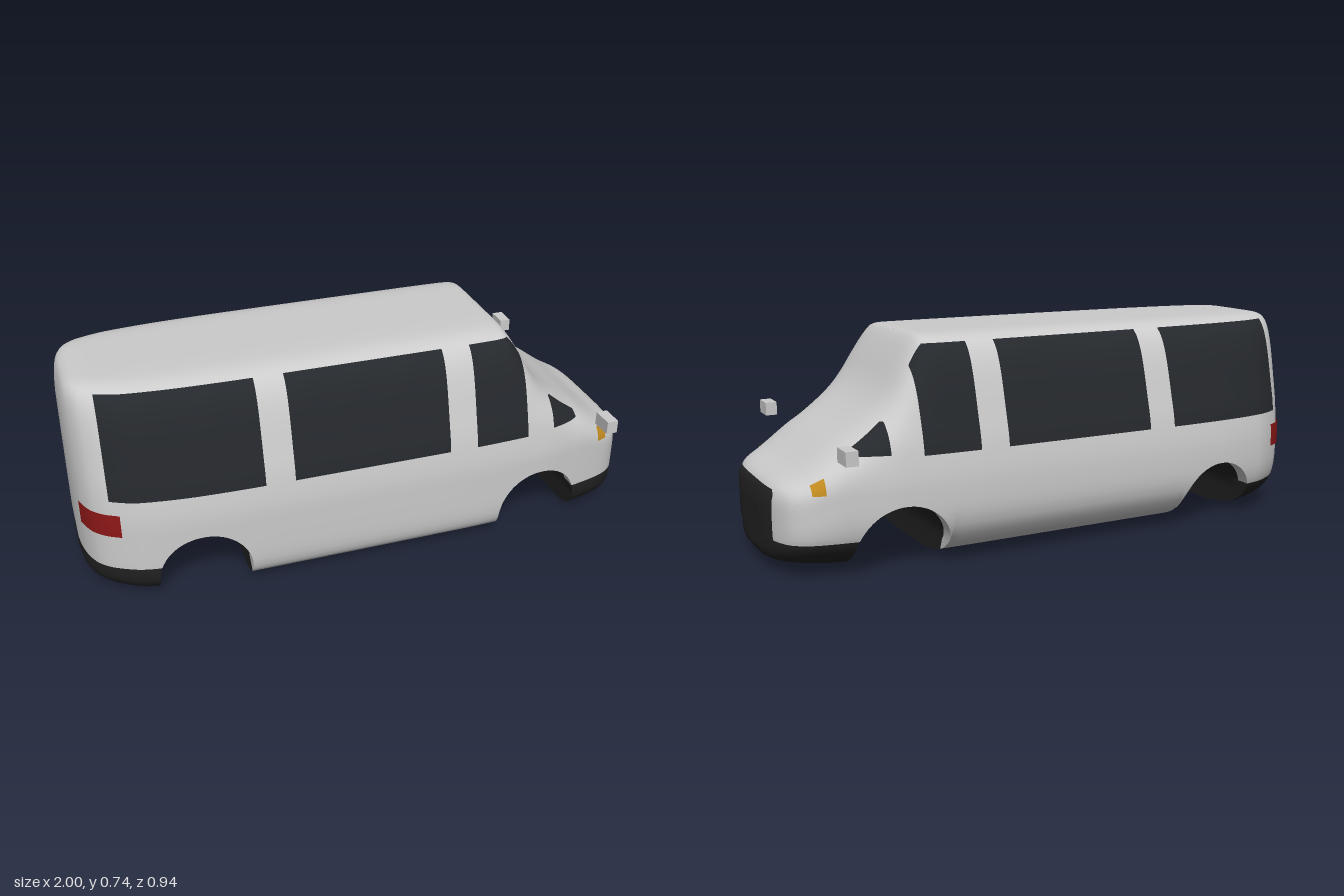
import * as THREE from 'three';
import { toCreasedNormals } from 'three/addons/utils/BufferGeometryUtils.js';

// Monotone smooth curve through [x, value] knots
function curve(knots) {
  const sec = i => (knots[i + 1][1] - knots[i][1]) / (knots[i + 1][0] - knots[i][0]);
  const slope = knots.map((k, i) => {
    if (i === 0) return sec(0);
    if (i === knots.length - 1) return sec(i - 1);
    const a = sec(i - 1), b = sec(i);
    return a * b > 0 ? 2 * a * b / (a + b) : 0;
  });
  return x => {
    if (x <= knots[0][0]) return knots[0][1];
    const i = knots.findIndex(k => k[0] >= x) - 1;
    if (i < 0) return knots[knots.length - 1][1];
    const h = knots[i + 1][0] - knots[i][0], t = (x - knots[i][0]) / h, s = 1 - t;
    return knots[i][1] * s * s * (1 + 2 * t) + knots[i + 1][1] * t * t * (3 - 2 * t)
      + h * (slope[i] * t * s * s - slope[i + 1] * t * t * s);
  };
}

// Body shape: half width in plan, roof line, underside and side taper
const plan = curve([[-1, 0.1], [-0.995, 0.15], [-0.98, 0.215], [-0.95, 0.275], [-0.9, 0.318], [-0.8, 0.36],
  [-0.6, 0.384], [-0.4, 0.39], [0.3, 0.39], [0.6, 0.378], [0.75, 0.355], [0.85, 0.332], [0.9, 0.315],
  [0.95, 0.28], [0.98, 0.22], [0.995, 0.15], [1, 0.1]]);
const roof = curve([[-1, 0.62], [-0.995, 0.67], [-0.98, 0.713], [-0.95, 0.731], [-0.9, 0.736], [0.47, 0.74],
  [0.49, 0.738], [0.51, 0.72], [0.55, 0.66], [0.6, 0.575], [0.64, 0.525], [0.7, 0.473], [0.8, 0.403],
  [0.9, 0.332], [0.97, 0.295], [0.99, 0.268], [1, 0.22]]);
const under = curve([[-1, 0.06], [-0.98, 0.035], [-0.75, 0], [0.75, 0], [0.97, 0.03], [0.99, 0.04], [1, 0.06]]);
const taper = curve([[0, 1], [0.27, 1], [0.4, 0.96], [0.5, 0.895], [0.6, 0.833], [0.69, 0.785], [0.74, 0.765]]);
const topPower = curve([[0.45, 7], [0.75, 4.5]]);
const lowPower = side => (side > 0 ? 7 : 3);
const waist = x => Math.min(0.25, under(x) + 0.6 * (roof(x) - under(x)));

// Half width of the body at height y
function halfWidth(x, y, side) {
  const c = waist(x), up = y > c;
  const s = Math.min(1, up ? (y - c) / (roof(x) - c) : (c - y) / (c - under(x)));
  const n = up ? topPower(x) : lowPower(side);
  return plan(x) * taper(y) * Math.pow(1 - Math.pow(s, n), 1 / n);
}

// Wheel arches cut right across the body
const R = 0.156, AXLE_Y = 0.068, AXLES = [-0.612, 0.606];
const archHeight = (x, axle) => AXLE_Y + Math.sqrt(Math.max(0, R * R - (x - axle) ** 2));

// Lengthwise stations: { x, arch height }, close together at the ends and arches
function makeStations() {
  const list = [];
  const plain = (a, b, n, ease) => {
    for (let i = 0; i <= n; i++) list.push({ x: a + (b - a) * ease(i / n), arch: 0 });
  };
  const arch = axle => {
    for (let i = 0; i <= 36; i++) {
      const x = axle - R * Math.cos(Math.PI * i / 36);
      list.push({ x, arch: archHeight(x, axle) });
    }
  };
  plain(-1, AXLES[0] - R, 24, t => t * t);
  arch(AXLES[0]);
  plain(AXLES[0] + R, AXLES[1] - R, 24, t => t);
  arch(AXLES[1]);
  plain(AXLES[1] + R, 1, 24, t => 1 - (1 - t) ** 2);
  return [{ ...list[0], flat: true }, ...list, { ...list[list.length - 1], flat: true }];
}

const warp = t => t ** 3 / (t ** 3 + (1 - t) ** 3);

// One half cross-section, from roof centre to floor centre, as painted and dark parts
function section({ x, arch, flat }, side) {
  const c = waist(x), T = roof(x), B = under(x), m = lowPower(side), n = topPower(x);
  const bottom = Math.max(B, arch), split = Math.max(bottom, Math.abs(x) > 0.7 ? 0.12 : 0.03);
  const point = (y, z) => [x, y, flat ? 0 : side * z];
  const angle = y => Math.asin(Math.min(1, Math.pow((c - y) / (c - B), m / 2)));
  const low = a => {
    const y = c - (c - B) * Math.pow(Math.sin(a), 2 / m);
    return point(y, plan(x) * taper(y) * Math.pow(Math.max(0, Math.cos(a)), 2 / m));
  };
  const paint = [], dark = [], aS = angle(split), aB = angle(bottom);
  for (let i = 28; i >= 0; i--) {
    const a = Math.PI / 2 * warp(i / 28), y = c + (T - c) * Math.pow(Math.sin(a), 2 / n);
    paint.push(point(y, plan(x) * taper(y) * Math.pow(Math.max(0, Math.cos(a)), 2 / n)));
  }
  for (let i = 1; i <= 14; i++) paint.push(low(aS * warp(i / 14)));
  // painted lip just inside the arch
  const lip = arch >= split ? 0.85 : 1;
  const edge = paint[paint.length - 1];
  paint.push([x, edge[1], edge[2] * lip]);
  for (let i = 0; i <= 16; i++) {
    const p = low(aS + (aB - aS) * warp(i / 16));
    dark.push([x, p[1], p[2] * lip]);
  }
  const end = dark[dark.length - 1];
  for (let i = 1; i <= 4; i++) dark.push([x, end[1], end[2] * (1 - i / 4)]);
  return { paint, dark };
}

// Surface through rows of points
function skin(rows, flip) {
  const pos = [], w = rows[0].length;
  for (let i = 0; i < rows.length - 1; i++) for (let j = 0; j < w - 1; j++) {
    const a = rows[i][j], b = rows[i][j + 1], c = rows[i + 1][j + 1], d = rows[i + 1][j];
    pos.push(...(flip ? [a, d, b, b, d, c] : [a, b, d, b, c, d]).flat());
  }
  const g = new THREE.BufferGeometry();
  g.setAttribute('position', new THREE.Float32BufferAttribute(pos, 3));
  return toCreasedNormals(g, 0.7);
}

function grid(nu, nv, fn) {
  return Array.from({ length: nu + 1 }, (_, i) => Array.from({ length: nv + 1 }, (_, j) => fn(i / nu, j / nv)));
}

// Panel lying on the flank between x0..x1 and y0..top(x)
function sidePanel(x0, x1, y0, top, side, shift = 0) {
  return skin(grid(28, 20, (u, v) => {
    const x = x0 + (x1 - x0) * u, y1 = Math.max(y0, top(x)), y = y1 + (y0 - y1) * v;
    return [x + shift, y, side * (halfWidth(x, y, side) + 0.004)];
  }), side < 0);
}

// Foremost x of the body at a given height and z
function noseX(y, z) {
  let a = 0.7, b = 1;
  for (let i = 0; i < 30; i++) {
    const x = (a + b) / 2;
    if (y < roof(x) && y > under(x) && Math.abs(z) < halfWidth(x, y, Math.sign(z) || 1)) a = x;
    else b = x;
  }
  return a;
}

export function createModel() {
  const group = new THREE.Group();
  const mat = color => new THREE.MeshStandardMaterial({ color, side: THREE.DoubleSide });
  const paint = mat(0xcccccc), trim = mat(0x222222), glass = mat(0x25282c), red = mat(0x8c1717), amber = mat(0xc08a20);
  const add = (name, geometry, material) => {
    const mesh = new THREE.Mesh(geometry, material);
    mesh.name = name;
    group.add(mesh);
    return mesh;
  };
  const stations = makeStations();
  for (const side of [1, -1]) {
    const tag = side > 0 ? 'Left' : 'Right';
    // Shell and dark lower trim
    const halves = stations.map(s => section(s, side));
    add('bodyShell' + tag, skin(halves.map(h => h.paint), side < 0), paint);
    add('bumpersAndFloor' + tag, skin(halves.map(h => h.dark), side < 0), trim);

    // Side windows
    const windowTop = x => Math.min(0.715, roof(x) - 0.02);
    [['rearWindow', -0.9, -0.4], ['middleWindow', -0.3, 0.25], ['doorWindow', 0.35, 0.545]].forEach(([name, a, b]) =>
      add(name + tag, sidePanel(a, b, 0.38, windowTop, side), glass));
    add('quarterWindow' + tag, sidePanel(0.65, 0.76, 0.39, x => Math.min(0.485, roof(x) - 0.022), side), glass);

    // Lamps
    add('tailLamp' + tag, sidePanel(-0.985, -0.87, 0.25, () => 0.332, side, -0.003), red);
    add('indicator' + tag, sidePanel(0.85, 0.89, 0.28, x => 0.33 - (x - 0.85) * 0.5, side, 0.003), amber);

    // Door mirror
    add('mirror' + tag, new THREE.BoxGeometry(0.04, 0.046, 0.078), paint).position.set(0.815, 0.421, side * 0.431);
  }

  // Grille wrapped on the nose
  add('grille', skin(grid(40, 20, (u, v) => {
    const y = 0.282 - 0.167 * v;
    const corner = Math.max(0, y - 0.262) / 0.02;
    const z = (u * 2 - 1) * (0.2 - 0.02 * corner * corner);
    return [noseX(y, z) + 0.004, y, z];
  }), true), trim);
  return group;
}
